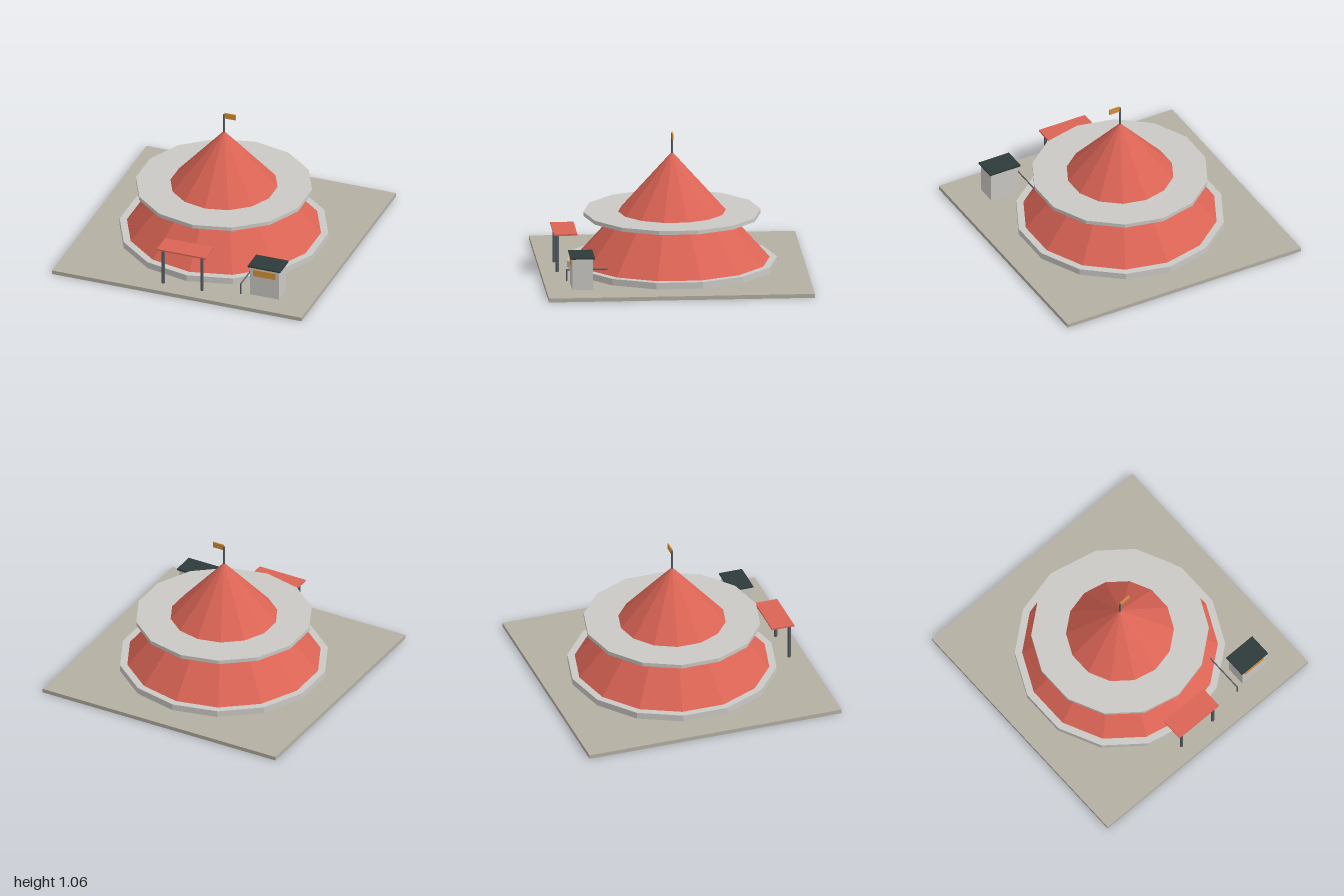
import * as THREE from 'three';

const SIDES = 14;

function material(name, color, flatShading = true) {
  const m = new THREE.MeshStandardMaterial({ color, flatShading });
  m.name = name;
  return m;
}

export function createModel() {
  const model = new THREE.Group();
  model.name = 'tentPavilion';

  const stone = material('paving', 0xb3afa2);
  const pale = material('paleConcrete', 0xcbc9c5);
  const red = material('redCanvas', 0xdb6455);
  const steel = material('darkSteel', 0x555b62);
  const dark = material('darkRoof', 0x2f3a3a);
  const amber = material('amber', 0xd6933a);

  const add = (name, geometry, mat, x, y, z) => {
    const mesh = new THREE.Mesh(geometry, mat);
    mesh.name = name;
    mesh.position.set(x, y, z);
    model.add(mesh);
    return mesh;
  };
  // Box given by its minimum and maximum corners
  const box = (name, mat, [x0, y0, z0], [x1, y1, z1]) =>
    add(name, new THREE.BoxGeometry(x1 - x0, y1 - y0, z1 - z0), mat,
      (x0 + x1) / 2, (y0 + y1) / 2, (z0 + z1) / 2);
  // Upright prism or cone from y0 to y1
  const column = (name, mat, rTop, rBottom, y0, y1, x = 0, z = 0, sides = SIDES) =>
    add(name, new THREE.CylinderGeometry(rTop, rBottom, y1 - y0, sides), mat, x, (y0 + y1) / 2, z);

  // Ground slab, plinth, tent and the ring platform around it
  box('groundSlab', stone, [-1, 0, -1], [1, 0.03, 1]);
  column('plinth', pale, 0.79, 0.79, 0.03, 0.08);
  column('tentRoof', red, 0, 0.735, 0.08, 0.905);
  column('ringPlatform', pale, 0.667, 0.667, 0.42, 0.45);

  // Mast and flag
  column('mast', steel, 0.009, 0.009, 0.89, 1.045, 0, 0, 8);
  box('flag', amber, [0.004, 1.015, -0.004], [0.094, 1.06, 0.004]);

  // Entrance canopy on two posts
  box('entranceCanopy', red, [-0.197, 0.316, 0.726], [0.197, 0.328, 0.902]);
  for (const side of [-1, 1]) {
    column('canopyPost', steel, 0.013, 0.013, 0.03, 0.316, side * 0.155, 0.876, 8);
  }

  // Ticket booth
  box('boothBody', pale, [0.515, 0.03, 0.65], [0.745, 0.268, 0.805]);
  box('boothRoof', dark, [0.5, 0.268, 0.637], [0.76, 0.28, 0.818]);
  box('boothWindow', amber, [0.54, 0.197, 0.804], [0.72, 0.25, 0.812]);

  // Queue rail beside the booth
  for (const z of [0.825, 0.522]) {
    column('railPost', steel, 0.006, 0.006, 0.03, 0.12, 0.447, z, 8);
  }
  const rail = column('railBar', steel, 0.005, 0.005, 0, 0.31, 0.447, 0.672, 8);
  rail.rotation.x = Math.PI / 2;
  rail.position.y = 0.115;

  return model;
}
